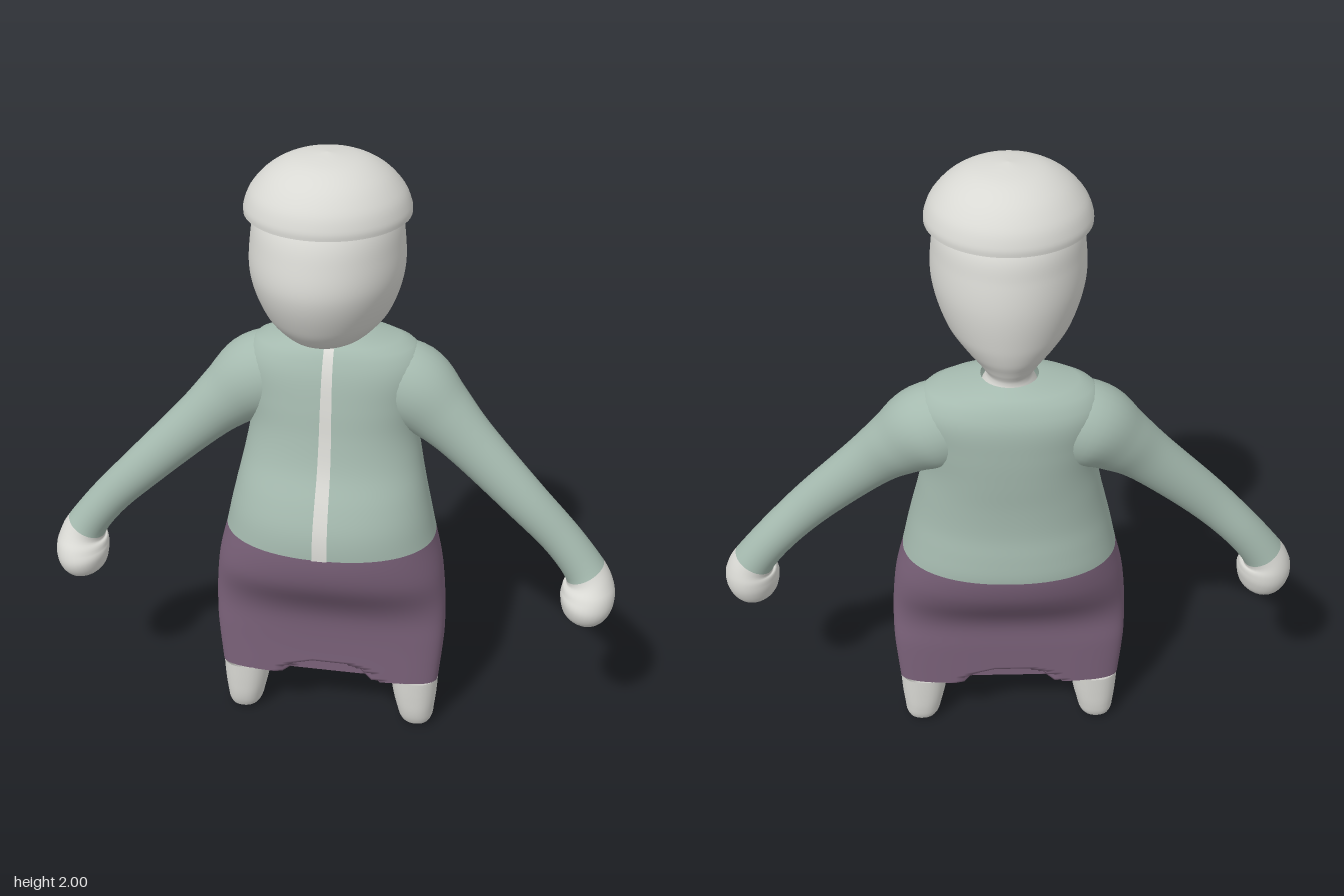
import * as THREE from 'three';

const mat = (name, color) => {
  const m = new THREE.MeshStandardMaterial({ color, side: THREE.DoubleSide });
  m.name = name;
  return m;
};

// Smooth interpolation of a table whose first column is the parameter
function sample(table, t) {
  const last = table.length - 1;
  let i = 0;
  while (i < last - 1 && t > table[i + 1][0]) i++;
  const p = table[i], q = table[i + 1];
  const o = table[Math.max(i - 1, 0)], r = table[Math.min(i + 2, last)];
  const h = q[0] - p[0], u = (t - p[0]) / h;
  return p.slice(1).map((v, k) => {
    k++;
    const m0 = (q[k] - o[k]) / (q[0] - o[0]) * h;
    const m1 = (r[k] - p[k]) / (r[0] - p[0]) * h;
    const a = u * u, b = a * u;
    return (2 * b - 3 * a + 1) * v + (b - 2 * a + u) * m0 + (3 * a - 2 * b) * q[k] + (b - a) * m1;
  });
}

// Skin closed rings; rows before splitRow use the first material, the rest the second
function loft(rings, splitRow) {
  const n = rings[0].length, index = [];
  for (let i = 0; i < rings.length - 1; i++) {
    for (let j = 0; j < n; j++) {
      const a = i * n + j, b = i * n + (j + 1) % n;
      index.push(a, a + n, b, b, a + n, b + n);
    }
  }
  const geo = new THREE.BufferGeometry().setFromPoints(rings.flat());
  geo.setIndex(index);
  geo.computeVertexNormals();
  if (splitRow) {
    geo.addGroup(0, splitRow * n * 6, 0);
    geo.addGroup(splitRow * n * 6, index.length - splitRow * n * 6, 1);
  }
  return geo;
}

// Horizontal superellipse ring
function ring(cx, y, rx, front, back, power = 2, n = 96) {
  const cz = (front + back) / 2, rz = (front - back) / 2;
  return Array.from({ length: n }, (_, j) => {
    const a = j / n * Math.PI * 2, c = Math.cos(a), s = Math.sin(a);
    const r = (Math.abs(c) ** power + Math.abs(s) ** power) ** (-1 / power);
    return new THREE.Vector3(cx + rx * c * r, y, cz + rz * s * r);
  });
}

const range = (a, b, n) => Array.from({ length: n + 1 }, (_, i) => a + (b - a) * i / n);

// y, half width, front z, back z, squareness
const BODY = [
  [0.19, 0.362, 0.045, -0.122, 4], [0.35, 0.375, 0.05, -0.13, 3.6], [0.44, 0.376, 0.06, -0.135, 3],
  [0.5, 0.374, 0.085, -0.16, 2.6], [0.6, 0.365, 0.15, -0.23, 2.3], [0.66, 0.355, 0.172, -0.262, 2.2],
  [0.74, 0.335, 0.18, -0.28, 2.2], [0.82, 0.318, 0.172, -0.276, 2.2], [0.9, 0.3, 0.145, -0.267, 2.2],
  [1.0, 0.278, 0.1, -0.268, 2.2], [1.1, 0.262, 0.075, -0.276, 2.2], [1.2, 0.27, 0.06, -0.282, 2.2],
  [1.3, 0.28, 0.04, -0.28, 2.2], [1.36, 0.245, 0.015, -0.255, 2.1], [1.385, 0.18, -0.005, -0.23, 2],
  [1.397, 0.085, -0.025, -0.195, 2]];

const HEAD = [
  [1.375, 0.08, -0.025, -0.195], [1.41, 0.066, -0.03, -0.19], [1.428, 0.085, 0.03, -0.2],
  [1.45, 0.112, 0.135, -0.21], [1.48, 0.143, 0.195, -0.225], [1.54, 0.187, 0.245, -0.24],
  [1.65, 0.222, 0.285, -0.25], [1.75, 0.222, 0.275, -0.24], [1.84, 0.203, 0.24, -0.215],
  [1.9, 0.15, 0.17, -0.14]];

const LEG = [
  [0.001, 0.295, 0.004, -0.03, -0.045], [0.004, 0.295, 0.035, 0.005, -0.085],
  [0.02, 0.293, 0.053, 0.022, -0.103], [0.06, 0.29, 0.062, 0.035, -0.113],
  [0.12, 0.286, 0.072, 0.041, -0.118], [0.2, 0.282, 0.08, 0.045, -0.122]];

// step, x, y, z, half width, half depth
const ARM = [
  [0, 0.12, 1.25, -0.12, 0.13, 0.12], [1, 0.24, 1.215, -0.12, 0.135, 0.128],
  [2, 0.335, 1.145, -0.1, 0.105, 0.1], [3, 0.43, 1.06, -0.075, 0.085, 0.077],
  [4, 0.606, 0.893, -0.045, 0.07, 0.066], [5, 0.73, 0.765, -0.04, 0.063, 0.065],
  [6, 0.81, 0.66, -0.032, 0.066, 0.072], [7, 0.824, 0.61, -0.018, 0.082, 0.095],
  [8, 0.822, 0.565, -0.008, 0.084, 0.1], [9, 0.812, 0.52, -0.005, 0.066, 0.078],
  [9.6, 0.806, 0.497, -0.005, 0.035, 0.04], [10, 0.804, 0.488, -0.005, 0.002, 0.002]];

function armRings(side) {
  const centre = t => {
    const s = sample(ARM, t);
    return new THREE.Vector3(side * s[0], s[1], s[2]);
  };
  return range(0, 10, 60).map(t => {
    const s = sample(ARM, t), c = centre(t);
    const dir = centre(Math.min(t + 0.3, 10)).sub(centre(Math.max(t - 0.3, 0)));
    dir.z = 0;
    const u = dir.normalize().cross(new THREE.Vector3(0, 0, 1));
    return Array.from({ length: 32 }, (_, j) => {
      const a = j / 32 * Math.PI * 2;
      const p = c.clone().addScaledVector(u, Math.cos(a) * s[3]);
      p.z += Math.sin(a) * s[4];
      return p;
    });
  });
}

export function createModel() {
  const group = new THREE.Group();
  const pale = mat('pale grey', 0xd9d9d4);
  const green = mat('sage green', 0xa5baaf);
  const purple = mat('plum', 0x7b627a);
  const add = (name, geo, material) => {
    const mesh = new THREE.Mesh(geo, material);
    mesh.name = name;
    group.add(mesh);
    return mesh;
  };

  // Skirt and jacket, with a thin web of cloth under a low arch at the hem
  const low = range(0.19, 0.26, 10), mid = range(0.28, 0.74, 20), high = range(0.76, 1.397, 36);
  const rings = [...low, ...mid, ...high].map(y => {
    const [w, f, b, p] = sample(BODY, y);
    const r = ring(0, y, w, f, b, p), cz = (f + b) / 2;
    for (const v of r) {
      const arch = 0.19 + 0.06 * Math.sqrt(Math.max(0, 1 - (v.x / 0.15) ** 2));
      if (y < arch) v.z = cz + (v.z - cz) * 0.55;
    }
    return r;
  });
  add('skirtAndJacket', loft(rings, low.length + mid.length - 1), [purple, green]);

  // Underside of the skirt
  const hem = new THREE.Shape(rings[0].map(v => new THREE.Vector2(v.x, v.z)));
  add('skirtUnderside', new THREE.ShapeGeometry(hem).rotateX(Math.PI / 2).translate(0, 0.19, 0), pale);

  // Front placket following the chest
  const strip = [], stripIndex = [];
  range(0.74, 1.394, 40).forEach((y, i) => {
    const z = sample(BODY, y)[1] + 0.004, w = 0.024 - 0.009 * (y - 0.74) / 0.65;
    strip.push(new THREE.Vector3(-w, y, z), new THREE.Vector3(w, y, z));
    const k = i * 2;
    if (i < 40) stripIndex.push(k, k + 1, k + 2, k + 1, k + 3, k + 2);
  });
  const placket = new THREE.BufferGeometry().setFromPoints(strip);
  placket.setIndex(stripIndex);
  placket.computeVertexNormals();
  add('placket', placket, pale);

  // Head and neck
  add('head', loft(range(1.375, 1.9, 50).map(y => ring(0, y, ...sample(HEAD, y)))), pale);

  // Cap with a flat underside
  const dome = new THREE.SplineCurve([[0.24, 1.83], [0.238, 1.855], [0.218, 1.9], [0.17, 1.95], [0.1, 1.985], [0, 2]]
    .map(p => new THREE.Vector2(...p))).getPoints(24);
  dome[24].x = 0;
  add('cap', new THREE.LatheGeometry(dome, 64), pale).position.z = 0.017;
  const under = add('capUnderside', new THREE.CircleGeometry(0.24, 64).rotateX(Math.PI / 2), pale);
  under.position.set(0, 1.83, 0.017);

  // Arms with hands, and legs
  for (const side of [1, -1]) {
    const label = side > 0 ? 'left' : 'right';
    add(label + 'ArmAndHand', loft(armRings(side), 36), [green, pale]);
    const leg = range(0, 1, 24).map(t => {
      const y = 0.001 + 0.191 * t * t;
      const [x, w, f, b] = sample(LEG, y);
      return ring(side * x, y, w, f, b, 2.4, 32);
    });
    add(label + 'Leg', loft(leg), pale);
  }
  return group;
}
